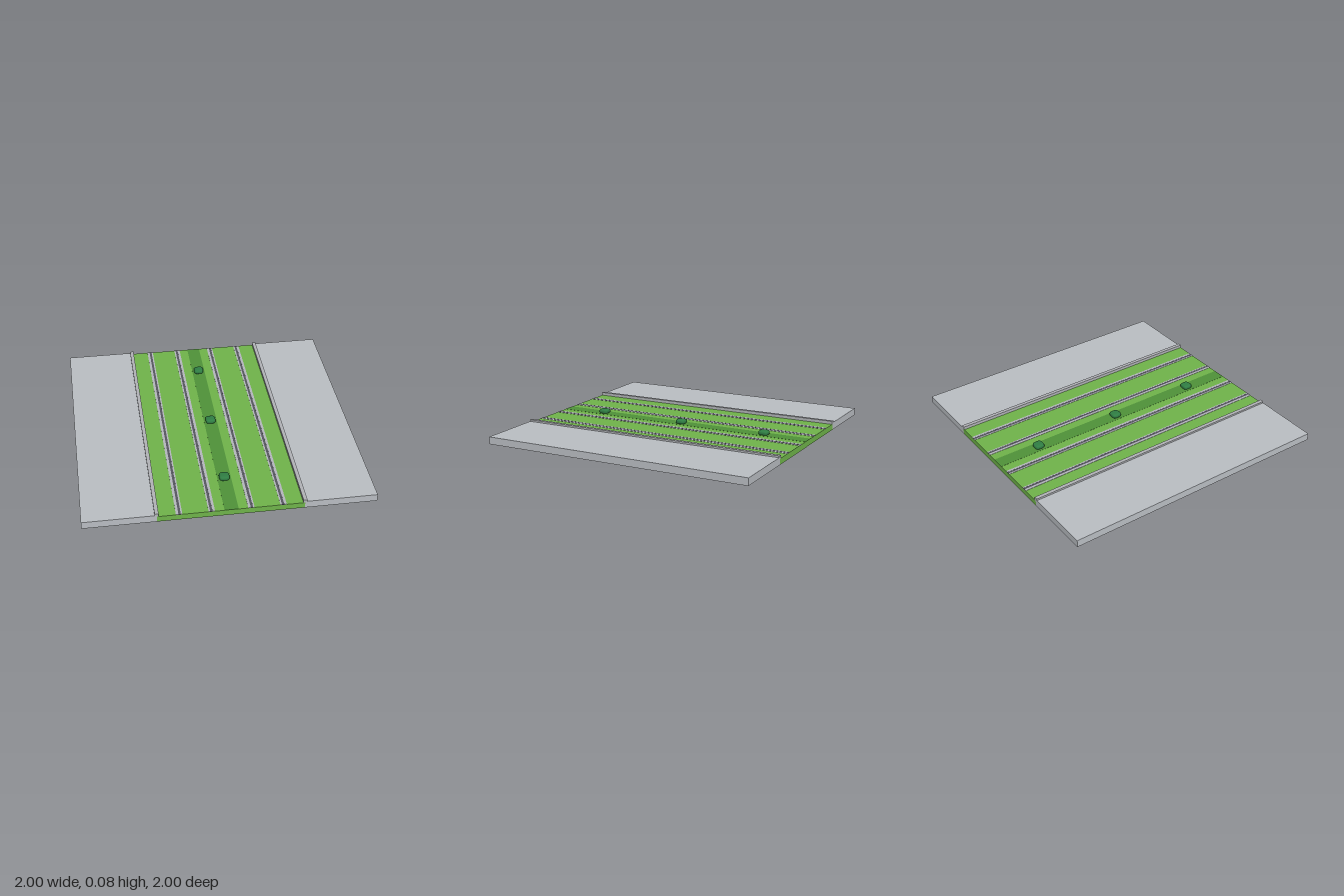
import * as THREE from 'three';

const material = (name, color) => {
  const m = new THREE.MeshStandardMaterial({ color });
  m.name = name;
  return m;
};

export function createModel() {
  const model = new THREE.Group();
  model.name = 'grassTramway';
  const paving = material('pavingGrey', 0xb9bdc2);
  const kerbGrey = material('kerbGrey', 0xb0b2b6);
  const grass = material('grassGreen', 0x6fb34a);
  const darkGrass = material('darkGrassGreen', 0x4f9138);
  const steel = material('railSteel', 0xb4b6bc);
  const grooveDark = material('grooveDark', 0x55555f);
  const leaf = material('bushGreen', 0x2f7d43);

  // Full-length strip between two x and two y values
  const strip = (name, mat, x0, x1, y0, y1) => {
    const mesh = new THREE.Mesh(new THREE.BoxGeometry(Math.abs(x1 - x0), y1 - y0, 2), mat);
    mesh.position.set((x0 + x1) / 2, (y0 + y1) / 2, 0);
    mesh.name = name;
    model.add(mesh);
  };

  // Lawn bed with a planted strip down the middle
  const lawnTop = 0.043;
  strip('lawn', grass, -0.5, 0.5, 0, lawnTop);
  strip('plantingStrip', darkGrass, -0.048, 0.048, lawnTop - 0.002, lawnTop + 0.001);

  for (const s of [-1, 1]) {
    // Pavement and raised kerb
    strip('pavement', paving, s * 0.5, s * 1, 0, 0.053);
    strip('kerb', kerbGrey, s * 0.488, s * 0.515, lawnTop, 0.066);

    // Grooved rails, mirrored about the middle of each track
    const track = s * 0.243;
    for (const d of [-1, 1]) {
      const rail = (name, mat, near, far, top) =>
        strip(name, mat, track + d * near, track + d * far, lawnTop - 0.002, top);
      rail('railHead', steel, 0.114, 0.131, lawnTop + 0.002);
      rail('railGroove', grooveDark, 0.098, 0.114, lawnTop + 0.001);
      rail('railLip', steel, 0.088, 0.098, lawnTop + 0.002);
    }
  }

  // Low clipped bushes: a sphere squared off into a cushion
  const bushShape = new THREE.SphereGeometry(1, 32, 20);
  const p = bushShape.attributes.position;
  const v = new THREE.Vector3();
  for (let i = 0; i < p.count; i++) {
    v.fromBufferAttribute(p, i);
    const k = Math.pow(Math.abs(v.x) ** 3.5 + Math.abs(v.y) ** 3.5 + Math.abs(v.z) ** 3.5, -1 / 3.5);
    p.setXYZ(i, v.x * k * 0.036, v.y * k * 0.017, v.z * k * 0.036);
  }
  bushShape.computeVertexNormals();
  for (const z of [-0.667, 0, 0.667]) {
    const bush = new THREE.Mesh(bushShape, leaf);
    bush.position.set(0, 0.058, z);
    bush.name = 'bush';
    model.add(bush);
  }
  return model;
}
